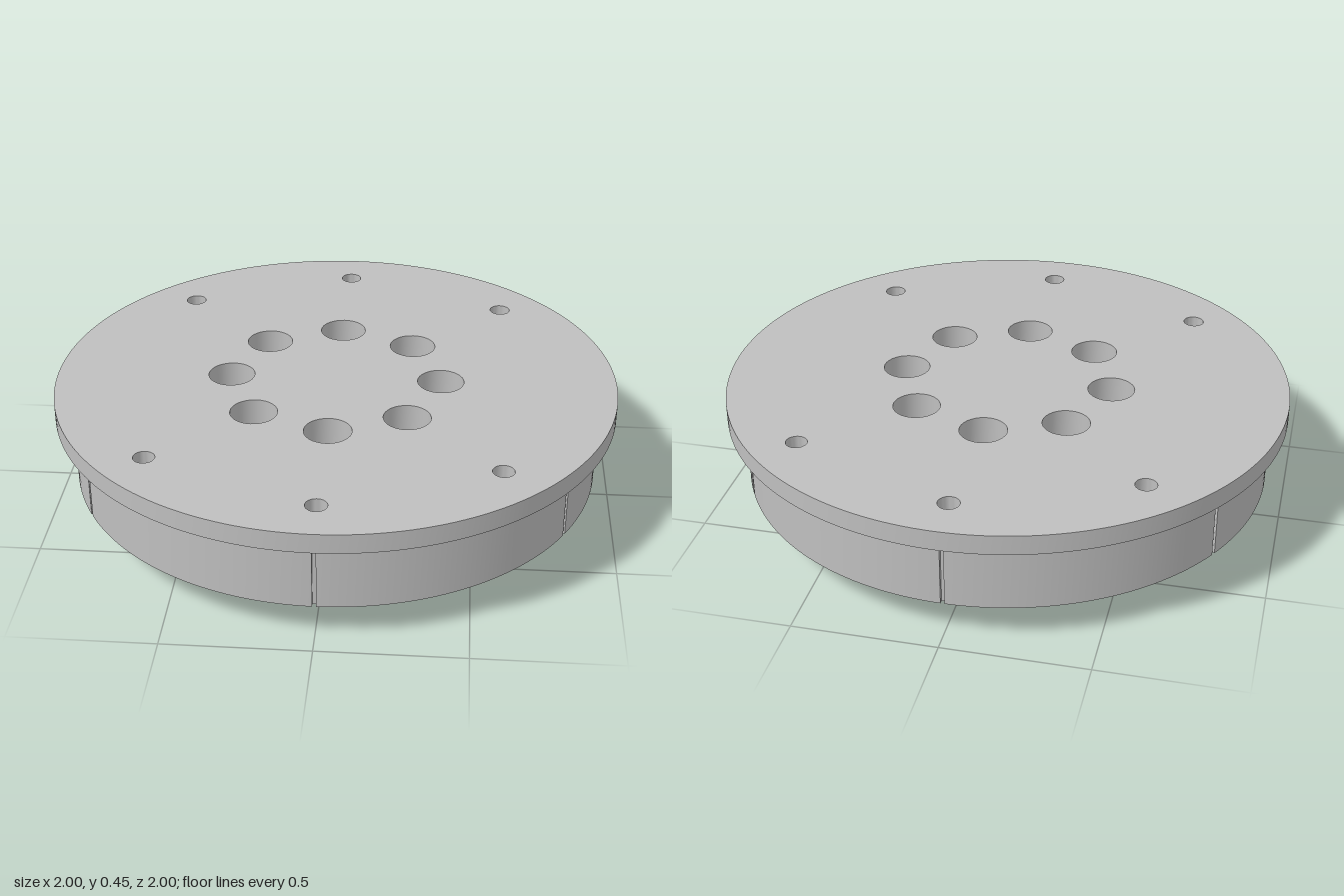
import * as THREE from 'three';
import { mergeGeometries, toCreasedNormals } from 'three/addons/utils/BufferGeometryUtils.js';

const TOP = 0.45, FLANGE_Y = 0.38, BODY_Y = 0.13, SEAT_Y = 0.25;
const FLANGE_R = 1, BODY_R = 0.938, HUB_R = 0.535;

// Closed outline of a circle, counter-clockwise in plan
function circle(r, n, cx = 0, cy = 0) {
  return Array.from({ length: n }, (_, i) => {
    const a = (i / n) * Math.PI * 2;
    return new THREE.Vector2(cx + r * Math.cos(a), cy + r * Math.sin(a));
  });
}

// Body outline with six narrow grooves in its rim
function groovedOutline() {
  const pts = [], half = 0.007, steps = 28;
  for (let k = 0; k < 6; k++) {
    const a = Math.PI / 6 + (k * Math.PI) / 3;
    const add = (r, t) => pts.push(new THREE.Vector2(r * Math.cos(t), r * Math.sin(t)));
    add(BODY_R - 0.014, a - half);
    add(BODY_R - 0.014, a + half);
    for (let i = 0; i <= steps; i++) add(BODY_R, a + half + (i / steps) * (Math.PI / 3 - 2 * half));
  }
  return pts;
}

// Vertical wall along an outline; facing outward, or inward for a hole
function wall(outline, y0, y1, inward = false) {
  const p = inward ? [...outline].reverse() : outline;
  const pos = [];
  p.forEach((a, i) => {
    const b = p[(i + 1) % p.length];
    pos.push(a.x, y0, -a.y, b.x, y0, -b.y, b.x, y1, -b.y);
    pos.push(a.x, y0, -a.y, b.x, y1, -b.y, a.x, y1, -a.y);
  });
  const g = new THREE.BufferGeometry();
  g.setAttribute('position', new THREE.Float32BufferAttribute(pos, 3));
  g.computeVertexNormals();
  return toCreasedNormals(g, 0.5);
}

// Flat horizontal face with holes, facing up or down
function face(outline, holes, y, up) {
  const shape = new THREE.Shape(outline);
  shape.holes = holes.map((h) => new THREE.Path(h));
  const g = new THREE.ShapeGeometry(shape).toNonIndexed();
  g.deleteAttribute('uv');
  g.rotateX(up ? -Math.PI / 2 : Math.PI / 2);
  return g.translate(0, y, 0);
}

export function createModel() {
  const metal = new THREE.MeshStandardMaterial({ color: 0xbfbfbf });
  metal.name = 'grey metal';
  const group = new THREE.Group();
  group.name = 'flangedHub';
  const add = (name, ...parts) => {
    const mesh = new THREE.Mesh(mergeGeometries(parts), metal);
    mesh.name = name;
    group.add(mesh);
  };

  // Hole outlines: six rim bolts, eight counterbored hub bolts
  const ring = (degrees, radius, r) => degrees.map((d) => {
    const a = THREE.MathUtils.degToRad(d);
    return circle(r, 32, radius * Math.cos(a), radius * Math.sin(a));
  });
  const hubAngles = [0, 45, 90, 135, 180, 225, 270, 315];
  const rimHoles = ring([45, 90, 135, 225, 270, 315], 0.836, 0.037);
  const boltHoles = ring(hubAngles, 0.375, 0.04);
  const counterbores = ring(hubAngles, 0.375, 0.083);

  const flange = circle(FLANGE_R, 180);
  const body = groovedOutline();
  const hub = circle(HUB_R, 128);

  add('flange',
    face(flange, [...rimHoles, ...counterbores], TOP, true),
    wall(flange, FLANGE_Y, TOP),
    face(flange, [body], FLANGE_Y, false));
  add('groovedBody',
    wall(body, BODY_Y, FLANGE_Y),
    face(body, [hub, ...rimHoles], BODY_Y, false));
  add('hub',
    wall(hub, 0, BODY_Y),
    face(hub, boltHoles, 0, false));

  // Hole linings
  rimHoles.forEach((h) => add('rimBoltHole', wall(h, BODY_Y, TOP, true)));
  boltHoles.forEach((h, i) => add('counterboredHole',
    wall(counterbores[i], SEAT_Y, TOP, true),
    face(counterbores[i], [h], SEAT_Y, true),
    wall(h, 0, SEAT_Y, true)));

  return group;
}
